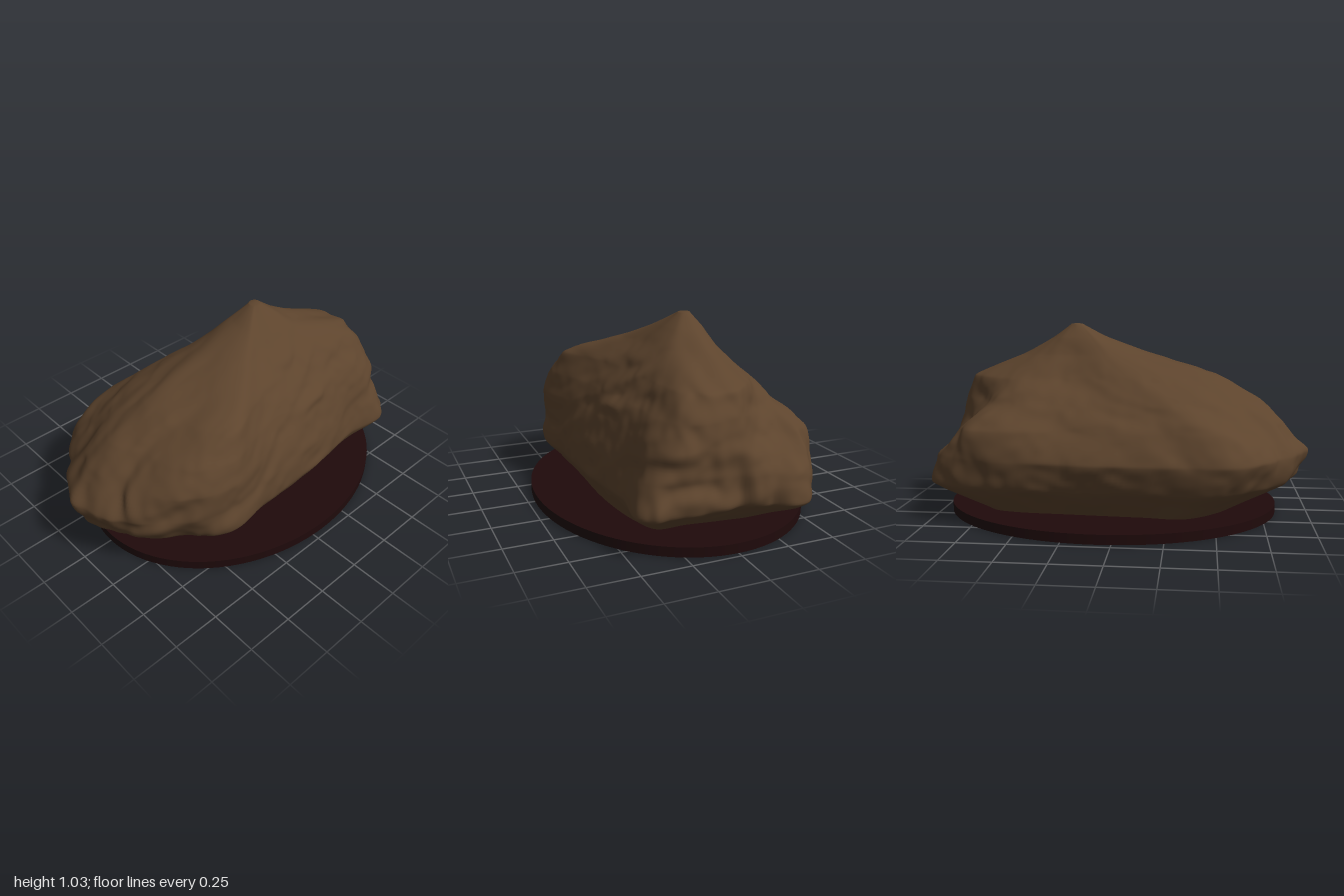
import * as THREE from 'three';

const rockMat = new THREE.MeshStandardMaterial({ color: 0x5d442d });
rockMat.name = 'brown rock';
const plinthMat = new THREE.MeshStandardMaterial({ color: 0x1f0a0b });
plinthMat.name = 'dark plinth';

// Rock form: distance from the summit axis, one row per compass direction, one column per height
const AXIS = { x: 0.26, z: -0.04 };
const HEIGHTS = [0.04, 0.2, 0.35, 0.5, 0.62, 0.74, 0.86, 0.95, 1.022];
const ANGLES = [0, 23, 38, 53, 90, 127, 142, 154, 168, 180, 192, 212, 224, 270, 310, 324, 338];
const RADII = [
  [0.44, 0.66, 0.67, 0.64, 0.61, 0.56, 0.29, 0.13],
  [0.45, 0.73, 0.72, 0.72, 0.69, 0.60, 0.26, 0.13],
  [0.52, 0.79, 0.74, 0.66, 0.58, 0.46, 0.24, 0.13],
  [0.48, 0.60, 0.57, 0.52, 0.46, 0.36, 0.22, 0.12],
  [0.43, 0.52, 0.51, 0.46, 0.40, 0.31, 0.20, 0.11],
  [0.54, 0.68, 0.67, 0.62, 0.55, 0.44, 0.25, 0.13],
  [0.66, 0.92, 0.91, 0.91, 0.87, 0.75, 0.38, 0.17],
  [0.72, 1.00, 1.06, 1.05, 0.95, 0.77, 0.41, 0.17],
  [0.80, 1.12, 1.18, 1.07, 0.96, 0.78, 0.40, 0.16],
  [0.84, 1.18, 1.25, 1.13, 1.00, 0.78, 0.38, 0.15],
  [0.82, 1.10, 1.15, 1.03, 0.88, 0.66, 0.34, 0.14],
  [0.70, 0.92, 0.99, 0.88, 0.70, 0.47, 0.26, 0.13],
  [0.52, 0.73, 0.79, 0.68, 0.53, 0.36, 0.21, 0.11],
  [0.34, 0.49, 0.54, 0.45, 0.34, 0.22, 0.13, 0.08],
  [0.42, 0.60, 0.63, 0.60, 0.46, 0.30, 0.17, 0.10],
  [0.48, 0.72, 0.72, 0.66, 0.51, 0.36, 0.20, 0.11],
  [0.48, 0.79, 0.73, 0.58, 0.50, 0.43, 0.24, 0.12],
];

// Smooth seeded value noise in -1..1
function hash(x, y, z) {
  let h = (x * 374761393 + y * 668265263 + z * 2147483647 + 1013) | 0;
  h = Math.imul(h ^ (h >>> 13), 1274126177);
  return ((h ^ (h >>> 16)) >>> 0) / 2147483648 - 1;
}
function noise(x, y, z) {
  const i = [x, y, z].map(Math.floor);
  const [u, v, w] = [x - i[0], y - i[1], z - i[2]].map((t) => t * t * (3 - 2 * t));
  const mix = THREE.MathUtils.lerp;
  const row = (b, c) => mix(hash(i[0], i[1] + b, i[2] + c), hash(i[0] + 1, i[1] + b, i[2] + c), u);
  return mix(mix(row(0, 0), row(1, 0), v), mix(row(0, 1), row(1, 1), v), w);
}

function rockGeometry() {
  const around = 340, rows = 96;
  // Closed contour at each height
  const rings = HEIGHTS.map((y, k) => {
    const points = ANGLES.map((deg, i) => {
      const a = THREE.MathUtils.degToRad(deg);
      const r = RADII[i][k] ?? 0.03;
      return new THREE.Vector3(AXIS.x + r * Math.cos(a), y, AXIS.z + r * Math.sin(a));
    });
    return new THREE.CatmullRomCurve3(points, true);
  });

  const positions = [], index = [];
  for (let i = 0; i < around; i++) {
    // Taut vertical rib through the contours, roughened with folds and strata
    const contour = rings.map((ring) => ring.getPoint(i / around));
    const rib = new THREE.CatmullRomCurve3(contour, false, 'catmullrom', 0.25);
    for (let j = 0; j <= rows; j++) {
      const p = rib.getPoint(j / rows);
      const out = new THREE.Vector3(p.x - AXIS.x, 0, p.z - AXIS.z).normalize();
      const fade = THREE.MathUtils.smoothstep(p.y, 0.05, 0.22) * (1 - THREE.MathUtils.smoothstep(p.y, 0.72, 1));
      const warp = 0.5 * noise(p.x * 4, p.y * 4, p.z * 4);
      const strata = noise(p.x * 3 + 9, (p.y - 0.35 * p.x) * 13 + warp * 2, p.z * 3);
      const folds = noise(p.x * 5 + warp, p.y * 2.5, p.z * 13 + warp * 2);
      const grain = noise(p.x * 19, p.y * 19, p.z * 19);
      const ends = out.x ** 2;
      p.addScaledVector(out, fade * (0.016 * strata + (0.008 + 0.02 * ends) * folds + 0.005 * grain));
      positions.push(p.x, p.y, p.z);
    }
  }
  const id = (i, j) => (i % around) * (rows + 1) + j;
  const tip = positions.length / 3;
  positions.push(AXIS.x, 1.027, AXIS.z);
  for (let i = 0; i < around; i++) {
    for (let j = 0; j < rows; j++) {
      index.push(id(i, j), id(i, j + 1), id(i + 1, j));
      index.push(id(i + 1, j), id(i, j + 1), id(i + 1, j + 1));
    }
    index.push(tip, id(i + 1, rows), id(i, rows));
  }
  const geometry = new THREE.BufferGeometry();
  geometry.setAttribute('position', new THREE.Float32BufferAttribute(positions, 3));
  geometry.setIndex(index);
  geometry.computeVertexNormals();
  return geometry;
}

export function createModel() {
  const model = new THREE.Group();
  model.name = 'rock on plinth';

  const rock = new THREE.Mesh(rockGeometry(), rockMat);
  rock.name = 'rock';

  // Thin oval plinth
  const plinth = new THREE.Mesh(new THREE.CylinderGeometry(1, 1, 0.05, 96), plinthMat);
  plinth.name = 'plinth';
  plinth.scale.set(0.9, 1, 0.715);
  plinth.position.set(0.07, 0.025, 0);

  model.add(rock, plinth);
  return model;
}
